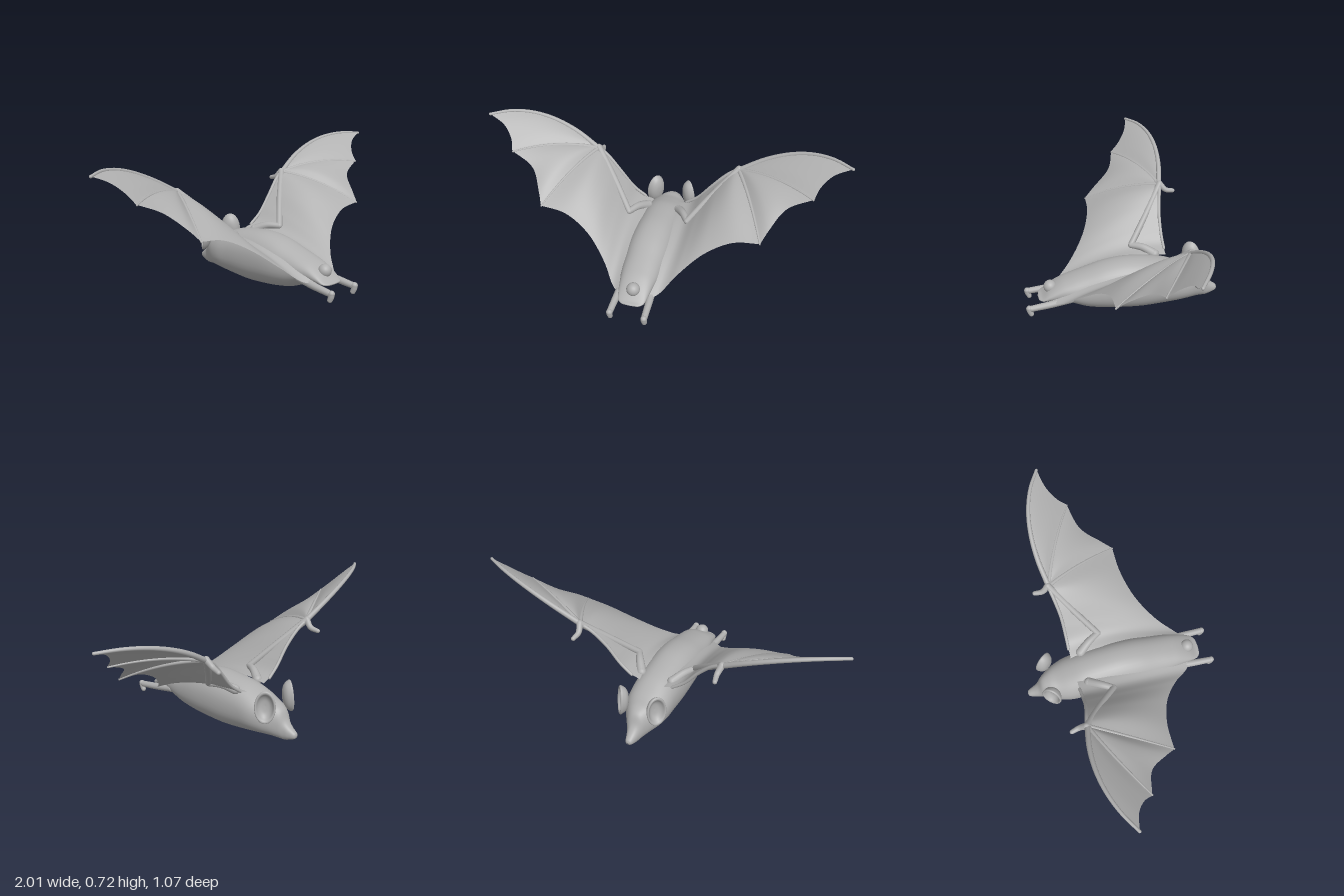
import * as THREE from 'three';
import { mergeVertices } from 'three/addons/utils/BufferGeometryUtils.js';

const fur = new THREE.MeshStandardMaterial({ name: 'soft grey', color: 0xb0b0b0 });
const skin = new THREE.MeshStandardMaterial({ name: 'wing grey', color: 0xb0b0b0, side: THREE.DoubleSide });
const V = (p) => new THREE.Vector3(...p);

function part(name, geometry, material = fur) {
  const m = new THREE.Mesh(geometry, material);
  m.name = name;
  return m;
}

// Smooth surface from a rule point(u, v), both running 0..1
function surface(nu, nv, point) {
  const pos = [], idx = [];
  for (let i = 0; i <= nu; i++) {
    for (let j = 0; j <= nv; j++) {
      pos.push(...point(i / nu, j / nv).toArray());
      if (i < nu && j < nv) {
        const a = i * (nv + 1) + j, b = a + nv + 1;
        idx.push(a, a + 1, b, a + 1, b + 1, b);
      }
    }
  }
  let g = new THREE.BufferGeometry();
  g.setAttribute('position', new THREE.Float32BufferAttribute(pos, 3));
  g.setIndex(idx);
  g = mergeVertices(g, 1e-5);
  g.computeVertexNormals();
  return g;
}

// Tapered tube with rounded ends
function limb(name, points, r0, r1) {
  const group = new THREE.Group();
  group.name = name;
  const curve = new THREE.CatmullRomCurve3(points);
  const n = 24, k = 12;
  const g = new THREE.TubeGeometry(curve, n, 1, k);
  const pos = g.attributes.position;
  for (let i = 0; i <= n; i++) {
    const c = curve.getPointAt(i / n), r = r0 + (r1 - r0) * i / n;
    for (let j = 0; j <= k; j++) {
      const q = i * (k + 1) + j;
      const p = new THREE.Vector3().fromBufferAttribute(pos, q).sub(c).multiplyScalar(r).add(c);
      pos.setXYZ(q, p.x, p.y, p.z);
    }
  }
  group.add(part(name + 'Shaft', g));
  [[points[0], r0], [points[points.length - 1], r1]].forEach(([p, r]) => {
    const end = part(name + 'End', new THREE.SphereGeometry(r, 14, 10));
    end.position.copy(p);
    group.add(end);
  });
  return group;
}

// Body sections from nose to tail: z, bottom, top, half width
const SECTIONS = [
  [-0.54, 0.059, 0.061, 0.001], [-0.535, 0.045, 0.073, 0.015], [-0.50, 0.028, 0.10, 0.029],
  [-0.475, 0.02, 0.13, 0.037], [-0.45, 0.021, 0.18, 0.052], [-0.41, 0.025, 0.205, 0.077],
  [-0.36, 0.025, 0.217, 0.102], [-0.30, 0.02, 0.24, 0.118], [-0.22, 0.01, 0.268, 0.122],
  [-0.1, 0, 0.285, 0.125], [0, 0.003, 0.288, 0.125], [0.1, 0.012, 0.272, 0.122],
  [0.2, 0.03, 0.24, 0.112], [0.28, 0.062, 0.212, 0.102], [0.34, 0.085, 0.188, 0.09],
  [0.40, 0.09, 0.15, 0.08], [0.44, 0.09, 0.115, 0.068], [0.46, 0.094, 0.106, 0.045],
  [0.465, 0.099, 0.101, 0.001],
];

function bodyGeometry() {
  const spine = new THREE.CatmullRomCurve3(SECTIONS.map(([z, b, t]) => V([0, (b + t) / 2, z])));
  const size = new THREE.CatmullRomCurve3(SECTIONS.map(([z, b, t, w]) => V([w, (t - b) / 2, z])));
  const soft = (v) => Math.sign(v) * Math.pow(Math.abs(v), 0.9);
  return surface(108, 40, (u, v) => {
    const c = spine.getPoint(u), s = size.getPoint(u), a = v * Math.PI * 2;
    return V([s.x * soft(Math.cos(a)), c.y + s.y * soft(Math.sin(a)), c.z]);
  });
}

// Wing ribs from shoulder to tip: leading point, middle point, trailing point
const WRIST = [0.40, 0.53, -0.285];
const RIBS = [
  [[0.07, 0.25, -0.26], [0.09, 0.23, 0.06], [0.05, 0.11, 0.42]],
  [[0.15, 0.28, -0.258], [0.15, 0.235, 0.05], [0.12, 0.11, 0.36]],
  [[0.22, 0.36, -0.255], [0.22, 0.30, 0.01], [0.20, 0.185, 0.265]],
  [[0.30, 0.45, -0.262], [0.31, 0.40, -0.04], [0.32, 0.285, 0.175]],
  [[0.37, 0.515, -0.28], [0.40, 0.465, -0.07], [0.46, 0.355, 0.13]],
  [WRIST, [0.50, 0.48, -0.09], [0.60, 0.375, 0.125]],
  [WRIST, [0.53, 0.53, -0.125], [0.63, 0.425, 0.07]],
  [WRIST, [0.57, 0.56, -0.16], [0.70, 0.505, -0.03]],
  [WRIST, [0.615, 0.575, -0.19], [0.83, 0.565, -0.07]],
  [WRIST, [0.64, 0.615, -0.225], [0.85, 0.61, -0.115]],
  [WRIST, [0.68, 0.655, -0.265], [0.905, 0.665, -0.16]],
  [WRIST, [0.72, 0.685, -0.30], [1.0, 0.71, -0.185]],
];

// Each panel between fingers is its own spline, so the trailing edge has sharp cusps
const PANELS = [[0, 5], [5, 8], [8, 11]].map(([a, b]) => ({
  a, b,
  curves: [0, 1, 2].map((k) => new THREE.CatmullRomCurve3(RIBS.slice(a, b + 1).map((r) => V(r[k])))),
}));

function wingPoint(s, v) {
  const { a, b, curves } = PANELS.find((p) => s <= p.b + 1e-6);
  const t = Math.min(1, (s - a) / (b - a));
  const w = [(1 - v) * (1 - 2 * v), 4 * v * (1 - v), v * (2 * v - 1)];
  const p = new THREE.Vector3();
  curves.forEach((c, k) => p.addScaledVector(c.getPoint(t), w[k]));
  return p;
}

function wing() {
  const g = new THREE.Group();
  g.add(part('wingMembrane', surface(88, 24, (u, v) => wingPoint(u * 11, v)), skin));
  // Finger bones under the membrane
  [[5, 0.012, 0.005], [8, 0.012, 0.005], [11, 0.015, 0.008]].forEach(([s, r0, r1]) => {
    const pts = [0, 0.2, 0.4, 0.6, 0.8, 0.99].map((v) => wingPoint(s, v).add(V([0, -0.005, 0.004])));
    g.add(limb('finger', pts, r0, r1));
  });
  // Arm and thumb
  g.add(limb('upperArm', [V([0.09, 0.25, -0.2]), V([0.13, 0.275, -0.14]), V([0.165, 0.275, -0.08])], 0.026, 0.017));
  g.add(limb('forearm', [V([0.165, 0.275, -0.08]), V([0.28, 0.405, -0.185]), V(WRIST)], 0.017, 0.018));
  g.add(limb('thumb', [V(WRIST), V([0.39, 0.495, -0.32]), V([0.397, 0.483, -0.362])], 0.018, 0.012));
  // Leading edge of the inner wing
  g.add(limb('innerLeadingEdge', [0.6, 1.5, 2.5, 3.5, 5].map((s) => wingPoint(s, 0)), 0.008, 0.01));
  return g;
}

// Cupped ear opening outwards and forwards
function ear() {
  const profile = [[0, 0], [0.45, 0.08], [0.8, 0.35], [0.98, 0.75], [1, 0.9], [0.94, 1],
    [0.82, 0.95], [0.66, 0.65], [0.4, 0.42], [0, 0.35]];
  const curve = new THREE.SplineCurve(profile.map(([x, y]) => new THREE.Vector2(x, y)));
  const pts = curve.getPoints(36).map((p) => new THREE.Vector2(Math.max(0, p.x), p.y));
  const geo = new THREE.LatheGeometry(pts, 32);
  geo.scale(0.055, 0.05, 0.088);
  const out = new THREE.Vector3(0.8, 0.08, -0.6).normalize();
  const side = new THREE.Vector3().crossVectors(out, V([0, 1, 0])).normalize();
  const up = new THREE.Vector3().crossVectors(side, out);
  geo.applyMatrix4(new THREE.Matrix4().makeBasis(side, out, up));
  const m = part('ear', geo);
  m.position.set(0.07, 0.212, -0.387);
  return m;
}

function leg() {
  const g = new THREE.Group();
  g.add(limb('shin', [V([0.08, 0.11, 0.29]), V([0.088, 0.092, 0.40]), V([0.092, 0.078, 0.505])], 0.022, 0.017));
  g.add(limb('foot', [V([0.092, 0.08, 0.518]), V([0.092, 0.063, 0.515]), V([0.092, 0.045, 0.508])], 0.017, 0.014));
  return g;
}

export function createModel() {
  const model = new THREE.Group();
  model.name = 'bat';
  model.add(part('body', bodyGeometry()));
  const tail = part('tailTip', new THREE.SphereGeometry(0.036, 24, 18));
  tail.position.set(0, 0.153, 0.395);
  model.add(tail);
  // Paired parts, mirrored
  [['left', 1], ['right', -1]].forEach(([label, s]) => {
    const half = new THREE.Group();
    half.name = label + 'Side';
    [['Wing', wing()], ['Ear', ear()], ['Leg', leg()]].forEach(([n, o]) => {
      o.name = label + n;
      half.add(o);
    });
    half.scale.x = s;
    model.add(half);
  });
  return model;
}
